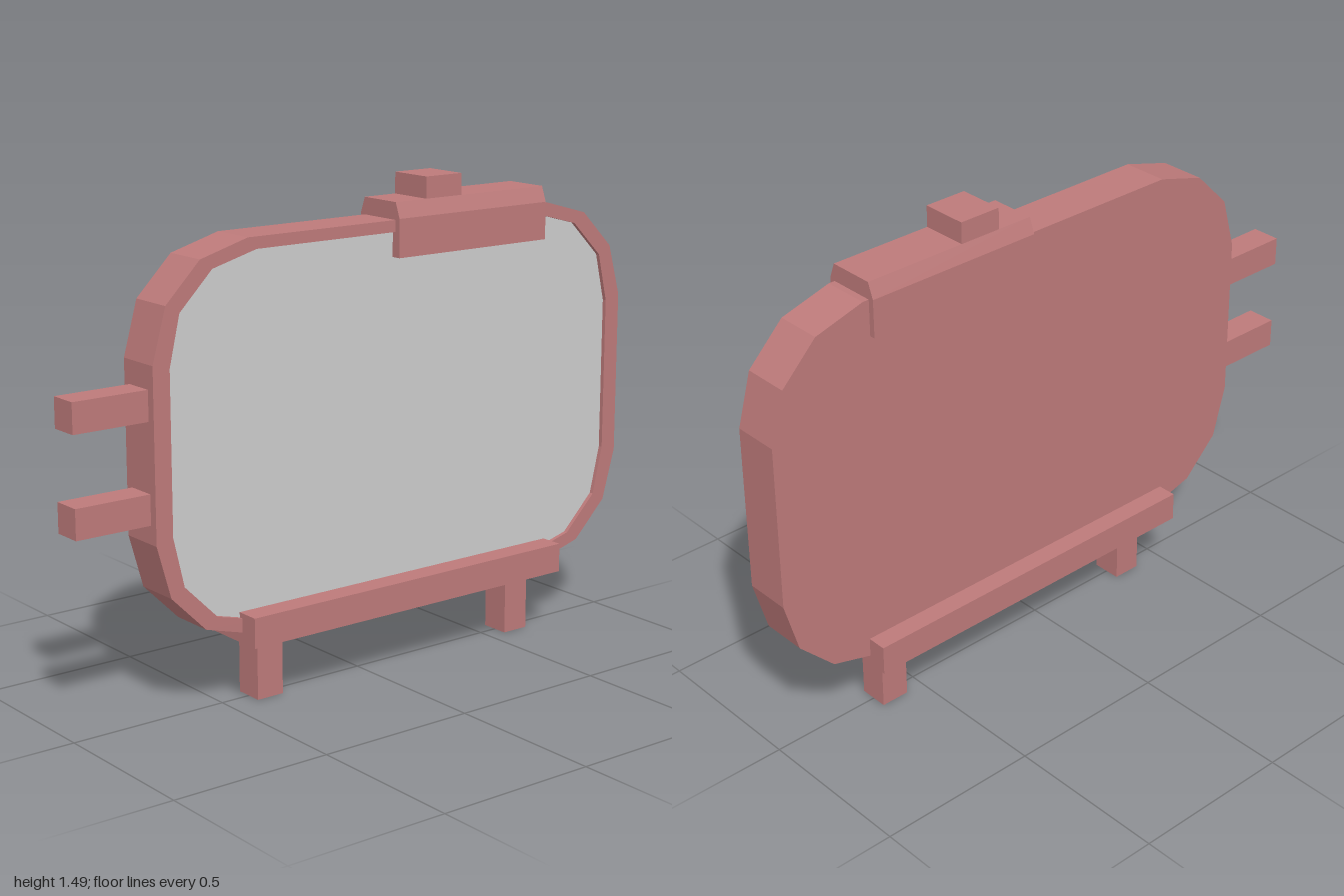
import * as THREE from 'three';

const red = new THREE.MeshStandardMaterial({ color: 0xbd7a7a, flatShading: true });
const grey = new THREE.MeshStandardMaterial({ color: 0xcccccc, flatShading: true });

const CX = 0.12, CY = 0.795; // centre of the panel

// Mirrors the points of one corner into a closed twelve-sided outline
function outline(corner) {
  const back = [...corner].reverse();
  return [
    ...corner,
    ...back.map(([x, y]) => [-x, y]),
    ...corner.map(([x, y]) => [-x, -y]),
    ...back.map(([x, y]) => [x, -y]),
  ].map(([x, y]) => new THREE.Vector2(x + CX, y + CY));
}

export function createModel() {
  const model = new THREE.Group();

  const add = (name, geometry, material = red) => {
    const mesh = new THREE.Mesh(geometry, material);
    mesh.name = name;
    model.add(mesh);
    return mesh;
  };
  // Box given by its x and y extents and half depth
  const box = (name, x0, x1, y0, y1, halfDepth) =>
    add(name, new THREE.BoxGeometry(x1 - x0, y1 - y0, halfDepth * 2))
      .position.set((x0 + x1) / 2, (y0 + y1) / 2, 0);
  const extrude = (shape, z0, z1) =>
    new THREE.ExtrudeGeometry(shape, { depth: z1 - z0, bevelEnabled: false }).translate(0, 0, z0);

  const outer = outline([[0.88, 0.255], [0.835, 0.415], [0.72, 0.53], [0.56, 0.575]]);
  const inner = outline([[0.825, 0.24], [0.79, 0.39], [0.68, 0.5], [0.53, 0.54]]);

  // Solid back, raised rim and the recessed panel inside it
  add('body', extrude(new THREE.Shape(outer), -0.072, 0.057));
  const rim = new THREE.Shape(outer);
  rim.holes.push(new THREE.Path(inner));
  add('rim', extrude(rim, 0.057, 0.072));
  add('screen', new THREE.ShapeGeometry(new THREE.Shape(inner)).translate(0, 0, 0.059), grey);

  // Base bar on two legs
  box('baseBar', -0.475, 0.71, 0.197, 0.288, 0.133);
  box('rightLeg', -0.405, -0.315, 0, 0.197, 0.046);
  box('leftLeg', 0.56, 0.65, 0, 0.197, 0.046);

  // Two pegs on the side
  box('upperPeg', -1, -0.755, 0.89, 0.98, 0.046);
  box('lowerPeg', -1, -0.755, 0.595, 0.685, 0.046);

  // Top clamp with sloped shoulders, its profile drawn across the depth
  const profile = new THREE.Shape(
    [[-0.09, 1.26], [0.09, 1.26], [0.09, 1.375], [0.072, 1.422], [-0.072, 1.422], [-0.09, 1.375]]
      .map(([z, y]) => new THREE.Vector2(z, y)));
  add('clamp', extrude(profile, -0.66, -0.085).rotateY(-Math.PI / 2));
  box('clampKnob', 0.2, 0.335, 1.42, 1.487, 0.072);

  return model;
}
